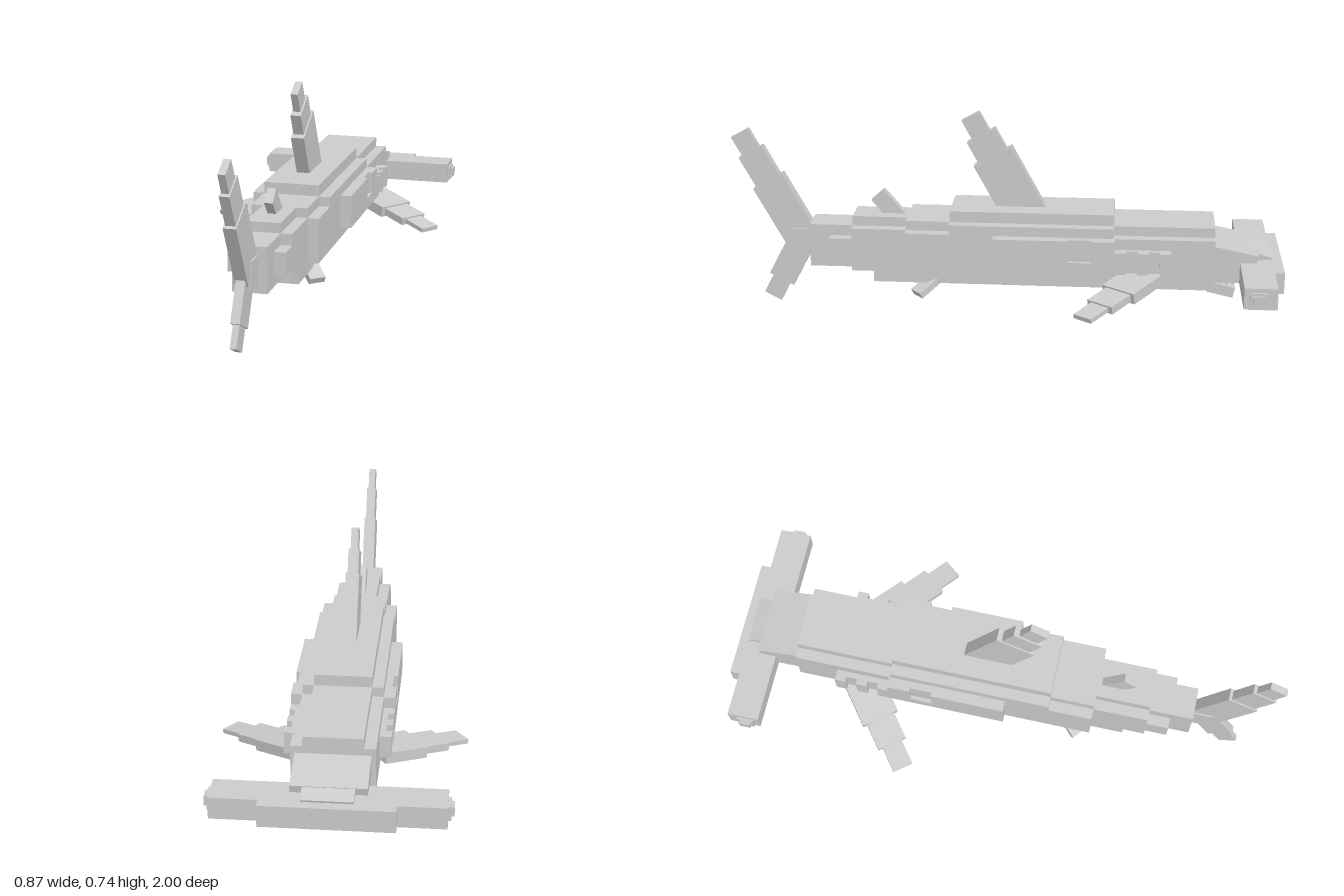
import * as THREE from 'three';

export function createModel() {
  const model = new THREE.Group();
  model.name = 'hammerheadShark';
  const skin = new THREE.MeshStandardMaterial({ color: 0xcccccc });
  skin.name = 'grey skin';

  // Axis-aligned block given by its limits
  function block(name, x0, x1, y0, y1, z0, z1) {
    const mesh = new THREE.Mesh(new THREE.BoxGeometry(x1 - x0, y1 - y0, z1 - z0), skin);
    mesh.name = name;
    mesh.position.set((x0 + x1) / 2, (y0 + y1) / 2, (z0 + z1) / 2);
    model.add(mesh);
    return mesh;
  }
  const centred = (name, half, y0, y1, z0, z1) => block(name, -half, half, y0, y1, z0, z1);
  function paired(name, xIn, xOut, ...rest) {
    block(name + 'Left', xIn, xOut, ...rest);
    block(name + 'Right', -xOut, -xIn, ...rest);
  }

  // Stepped fin from base to tip; segments are [end fraction, width, thickness]
  function fin(name, base, tip, hint, segments) {
    const a = new THREE.Vector3(...base);
    const axis = new THREE.Vector3(...tip).sub(a);
    const length = axis.length();
    axis.normalize();
    const across = axis.clone().cross(new THREE.Vector3(...hint)).normalize();
    const normal = axis.clone().cross(across);
    const group = new THREE.Group();
    group.name = name;
    group.position.copy(a);
    group.quaternion.setFromRotationMatrix(new THREE.Matrix4().makeBasis(axis, across, normal));
    let start = 0;
    for (const [end, width, thick] of segments) {
      const mesh = new THREE.Mesh(new THREE.BoxGeometry((end - start) * length, width, thick), skin);
      mesh.name = 'finSegment';
      mesh.position.x = (start + end) / 2 * length;
      group.add(mesh);
      start = end;
    }
    model.add(group);
  }

  // Body
  centred('body', 0.14, 0.16, 0.32, -0.76, 0.35);
  centred('belly', 0.10, 0.12, 0.16, -0.76, 0.47);
  centred('backRidge', 0.10, 0.32, 0.355, -0.76, 0.35);
  centred('backShoulder', 0.14, 0.32, 0.355, -0.40, 0.19);
  centred('backTop', 0.10, 0.355, 0.395, -0.40, 0.19);
  centred('rearBody', 0.10, 0.16, 0.32, 0.35, 0.55);
  centred('rearRidge', 0.06, 0.32, 0.355, 0.35, 0.55);
  centred('rearSides', 0.10, 0.20, 0.28, 0.55, 0.63);
  centred('tailStem', 0.06, 0.16, 0.32, 0.55, 0.71);
  centred('tailRoot', 0.028, 0.19, 0.29, 0.71, 0.78);

  // Flank panels with a shallow notch
  paired('flank', 0.14, 0.18, 0.20, 0.32, -0.24, 0.03);
  paired('flankNotch', 0.14, 0.166, 0.24, 0.32, -0.32, -0.24);
  paired('flankUnderNotch', 0.14, 0.18, 0.20, 0.24, -0.32, -0.24);
  paired('flankFront', 0.14, 0.18, 0.20, 0.32, -0.405, -0.32);

  // Gills: alternating raised and sunken slats
  for (let i = 0; i < 5; i++) {
    const z = -0.605 + i * 0.04;
    paired('gill', 0.14, i % 2 ? 0.16 : 0.18, 0.20, 0.28, z, z + 0.04);
  }

  // Hammer-shaped head with eyes
  centred('hammer', 0.38, 0.16, 0.237, -0.965, -0.85);
  centred('hammerFront', 0.22, 0.16, 0.237, -1.0, -0.85);
  paired('eye', 0.38, 0.39, 0.17, 0.222, -0.93, -0.87);
  paired('pupil', 0.39, 0.40, 0.18, 0.214, -0.92, -0.88);
  centred('neck', 0.12, 0.16, 0.235, -0.86, -0.75);
  const skull = centred('skull', 0.125, 0.225, 0.285, -0.91, -0.73);
  skull.rotation.x = -0.2;
  skull.position.y = 0.252;
  const brow = centred('brow', 0.085, 0.225, 0.25, -0.965, -0.88);
  brow.rotation.x = -0.3;
  brow.position.y = 0.245;

  // Lower jaw and teeth
  const jaw = centred('lowerJaw', 0.10, 0.105, 0.143, -0.835, -0.74);
  jaw.rotation.x = -0.22;
  for (let i = 0; i < 3; i++) {
    const z = -0.78 - i * 0.022;
    paired('tooth', 0.08, 0.09, 0.142, 0.162, z - 0.01, z);
  }

  // Upright fins
  const side = [1, 0, 0];
  fin('dorsalFin', [0, 0.34, -0.09], [0, 0.725, 0.122], side,
    [[0.62, 0.155, 0.048], [0.82, 0.115, 0.038], [1, 0.072, 0.026]]);
  fin('rearDorsalFin', [0, 0.33, 0.382], [0, 0.423, 0.463], side, [[1, 0.062, 0.03]]);
  fin('upperTailFin', [0, 0.24, 0.742], [0, 0.645, 0.965], side,
    [[0.56, 0.125, 0.044], [0.83, 0.1, 0.034], [1, 0.072, 0.025]]);
  fin('lowerTailFin', [0, 0.25, 0.745], [0, 0.017, 0.868], side,
    [[0.7, 0.1, 0.032], [1, 0.07, 0.022]]);

  // Paired fins
  for (const s of [1, -1]) {
    const label = s > 0 ? 'left' : 'right';
    fin(label + 'PectoralFin', [s * 0.12, 0.182, -0.525], [s * 0.41, 0.12, -0.3], [0, 1, 0],
      [[0.46, 0.14, 0.04], [0.74, 0.11, 0.028], [1, 0.077, 0.016]]);
    fin(label + 'PelvicFin', [s * 0.05, 0.15, 0.22], [s * 0.125, 0.085, 0.31], [0, 1, 0],
      [[1, 0.06, 0.024]]);
  }

  return model;
}
